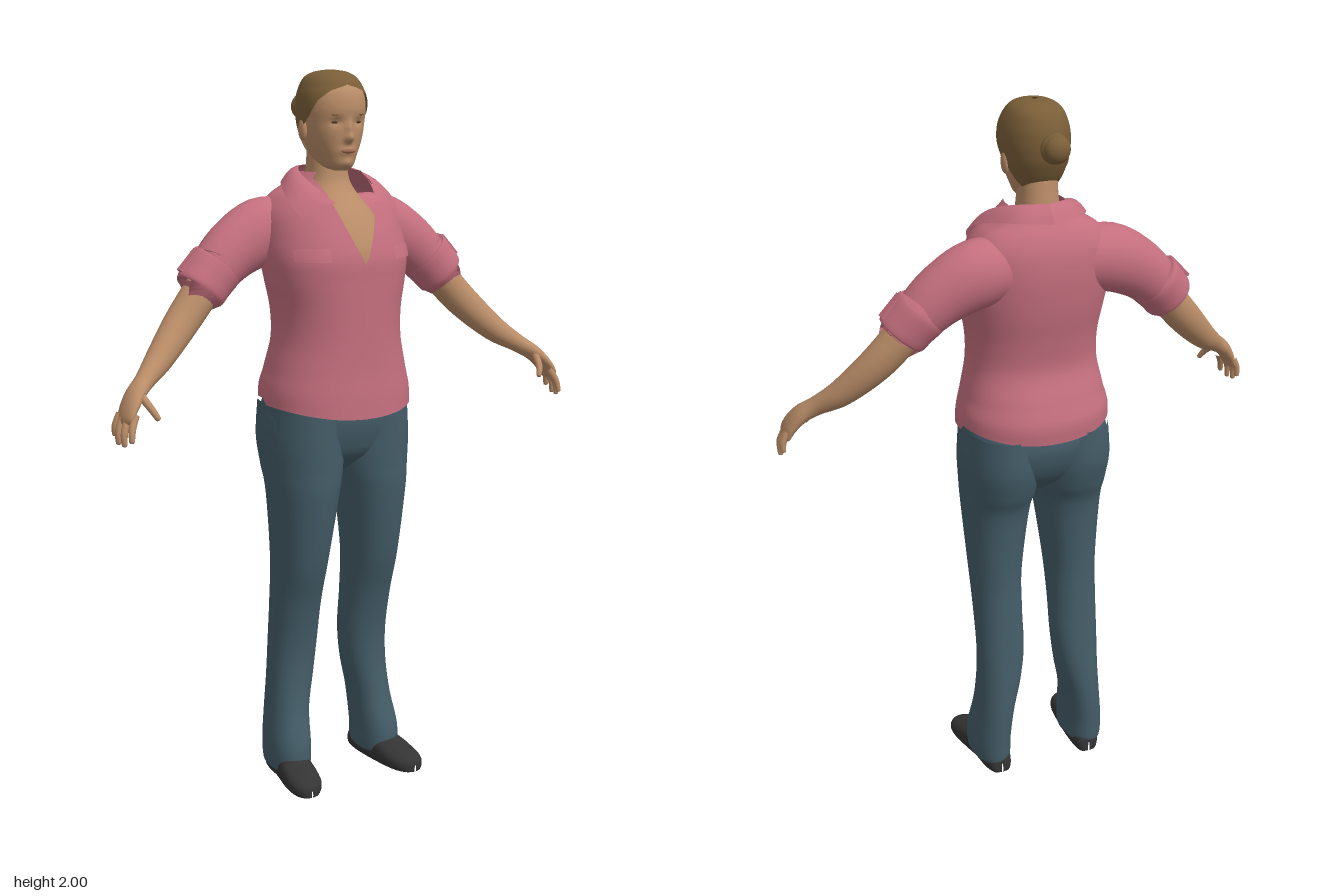
import * as THREE from 'three';

const mat = (name, color, side = THREE.FrontSide) => {
  const m = new THREE.MeshStandardMaterial({ color, side });
  m.name = name;
  return m;
};
const V = (x, y, z) => new THREE.Vector3(x, y, z);

// Smooth extra rows between a few given rows (Catmull-Rom on every number)
function smooth(rows, k = 6) {
  const out = [];
  const at = i => rows[Math.max(0, Math.min(rows.length - 1, i))];
  for (let i = 0; i < rows.length - 1; i++)
    for (let s = 0; s < k; s++) {
      const t = s / k, [a, b, c, d] = [at(i - 1), at(i), at(i + 1), at(i + 2)];
      out.push(b.map((p, q) => 0.5 * (2 * p + (c[q] - a[q]) * t + (2 * a[q] - 5 * p + 4 * c[q] - d[q]) * t * t
        + (3 * p - a[q] - 3 * c[q] + d[q]) * t * t * t)));
    }
  out.push(rows[rows.length - 1]);
  return out;
}

// Surface through a grid of points; closed joins the last column to the first
function grid(nRows, nCols, point, closed = true) {
  const pos = [], index = [];
  for (let i = 0; i < nRows; i++)
    for (let j = 0; j < nCols; j++) pos.push(...point(i, j).toArray());
  for (let i = 0; i < nRows - 1; i++)
    for (let j = 0; j < (closed ? nCols : nCols - 1); j++) {
      const a = i * nCols + j, b = i * nCols + (j + 1) % nCols;
      index.push(a, b, b + nCols, a, b + nCols, a + nCols);
    }
  const g = new THREE.BufferGeometry();
  g.setAttribute('position', new THREE.Float32BufferAttribute(pos, 3));
  g.setIndex(index);
  g.computeVertexNormals();
  return g;
}

// Point on a level ring; row = [y, centreX, halfWidth, zFront, zBack, zWidest]
const pw = (v, n) => Math.sign(v) * Math.abs(v) ** (2 / n);
function ringPoint([y, cx, w, zf, zb, cz], a, n) {
  const c = pw(Math.cos(a), n);
  return V(cx + w * pw(Math.sin(a), n), y, cz + c * (c > 0 ? zf - cz : cz - zb));
}

// Stack of level rings; opening(y, w) leaves a gap around the front
function body(rows, n = 2.2, { cols = 48, opening, shape } = {}) {
  const r = smooth(rows);
  return grid(r.length, cols, (i, j) => {
    const a0 = opening ? opening(r[i][0], r[i][2]) : 0;
    const a = opening ? a0 + (2 * Math.PI - 2 * a0) * j / (cols - 1) : 2 * Math.PI * j / cols;
    const p = ringPoint(r[i], a, n);
    return shape ? shape(p) : p;
  }, !opening);
}

// Tube along a bent path; row = [x, y, z, thickness, breadth]
function limb(rows, cols = 24, k = 5) {
  const r = smooth(rows, k);
  const at = i => { const q = r[Math.max(0, Math.min(r.length - 1, i))]; return V(q[0], q[1], q[2]); };
  return grid(r.length, cols, (i, j) => {
    const t = at(i + 1).sub(at(i - 1)).normalize();
    const n1 = V(0, 0, 1).addScaledVector(t, -t.z).normalize();
    const n2 = t.clone().cross(n1), a = 2 * Math.PI * j / cols;
    return at(i).addScaledVector(n1, r[i][4] * Math.cos(a)).addScaledVector(n2, r[i][3] * Math.sin(a));
  });
}

function mirrored(g) {
  const m = g.clone().scale(-1, 1, 1), ix = m.index.array;
  for (let i = 0; i < ix.length; i += 3) [ix[i], ix[i + 1]] = [ix[i + 1], ix[i]];
  m.computeVertexNormals();
  return m;
}
const blob = (x, y, z, sx, sy, sz) => new THREE.SphereGeometry(1, 20, 14).scale(sx, sy, sz).translate(x, y, z);

const TORSO = [
  [1.07, 0, 0.214, 0.188, -0.168, 0.01], [1.13, 0, 0.211, 0.185, -0.17, 0.01], [1.2, 0, 0.198, 0.18, -0.152, 0.01],
  [1.28, 0, 0.182, 0.178, -0.125, 0.01], [1.36, 0, 0.182, 0.178, -0.132, 0.01], [1.44, 0, 0.197, 0.178, -0.148, 0.01],
  [1.5, 0, 0.206, 0.177, -0.156, 0], [1.56, 0, 0.204, 0.16, -0.16, -0.02], [1.62, 0, 0.194, 0.135, -0.155, -0.04],
  [1.665, 0, 0.163, 0.115, -0.14, -0.05], [1.695, 0, 0.118, 0.1, -0.122, -0.05], [1.73, 0, 0.08, 0.085, -0.1, -0.03]];
const HEAD = [
  [1.733, 0, 0.018, 0.062, 0.03, 0.045], [1.745, 0, 0.04, 0.075, -0.02, 0.02], [1.77, 0, 0.056, 0.081, -0.055, 0],
  [1.8, 0, 0.069, 0.084, -0.078, 0], [1.83, 0, 0.078, 0.087, -0.095, 0], [1.86, 0, 0.083, 0.088, -0.107, 0],
  [1.9, 0, 0.086, 0.094, -0.112, 0], [1.94, 0, 0.08, 0.086, -0.108, 0], [1.97, 0, 0.062, 0.064, -0.088, -0.01],
  [1.987, 0, 0.036, 0.034, -0.055, -0.012], [1.993, 0, 0.002, -0.01, -0.014, -0.012]];
// Face relief: [x, y, height, spreadX, spreadY]
const RELIEF = [[0, 1.82, 0.02, 0.011, 0.012], [0, 1.846, 0.012, 0.009, 0.018], [0.034, 1.863, -0.008, 0.015, 0.01],
  [-0.034, 1.863, -0.008, 0.015, 0.01], [0, 1.786, 0.006, 0.022, 0.01], [0, 1.754, 0.005, 0.018, 0.01]];

export function createModel() {
  const root = new THREE.Group();
  root.name = 'standingWoman';
  const skin = mat('skin', 0xb98c67), hair = mat('hair', 0x7a5e38, THREE.DoubleSide);
  const shirt = mat('pinkShirt', 0xc46f7e, THREE.DoubleSide), pants = mat('blueGreyPants', 0x445d68);
  const shoe = mat('darkShoe', 0x343434), lip = mat('lips', 0x9c6653), eye = mat('eyes', 0x4d3a2e);
  const add = (name, g, m) => {
    const mesh = new THREE.Mesh(g, m);
    mesh.name = name;
    root.add(mesh);
  };
  const pair = (name, g, m) => {
    add('left' + name, g, m);
    add('right' + name, mirrored(g), m);
  };

  // Shirt with V neck and a hem that rises at the sides and back
  add('shirtBody', body(TORSO, 2.3, {
    cols: 72,
    opening: (y, w) => Math.asin(Math.min(0.85, Math.max(0, y - 1.49) * 0.36 / w)),
    shape: p => {
      const low = Math.max(0, 1 - (p.y - 1.07) / 0.12);
      p.y += low * (0.028 * (p.x / 0.21) ** 2 + (p.z < 0 ? 0.018 : 0));
      return p;
    },
  }), shirt);

  // Folded collar between a neck edge and an outer edge
  const path = pts => new THREE.CatmullRomCurve3(pts.map(p => V(...p)));
  const fold = path([[0.06, 1.652, 0.122], [0.092, 1.695, 0.06], [0.09, 1.727, -0.02], [0.06, 1.742, -0.075], [0, 1.745, -0.105]]);
  const edge = path([[0.15, 1.608, 0.1], [0.165, 1.65, 0.058], [0.142, 1.69, -0.03], [0.09, 1.704, -0.112], [0, 1.7, -0.145]]);
  pair('Collar', grid(17, 5, (i, j) => {
    const p = fold.getPoint(i / 16).lerp(edge.getPoint(i / 16), j / 4);
    p.y += 0.012 * Math.sin(Math.PI * j / 4);
    return p;
  }, false), shirt);

  // Pocket flaps lying on the chest
  const torso = smooth(TORSO, 10);
  const chestZ = (x, y) => {
    const r = torso.reduce((b, q) => Math.abs(q[0] - y) < Math.abs(b[0] - y) ? q : b);
    return ringPoint(r, Math.asin((x / r[2]) ** 1.15), 2.3).z;
  };
  pair('PocketFlap', grid(4, 9, (i, j) => {
    const x = 0.1 + 0.08 * j / 8, y = 1.5 + 0.035 * i / 3;
    return V(x, y, chestZ(x, y) + 0.004 + 0.005 * (1 - i / 3));
  }, false), shirt);

  // Sleeves with turned-up cuffs and straps
  pair('Sleeve', limb([[0.1, 1.575, -0.065, 0.085, 0.075], [0.19, 1.567, -0.067, 0.093, 0.082], [0.275, 1.525, -0.06, 0.083, 0.075],
    [0.335, 1.475, -0.052, 0.072, 0.068], [0.385, 1.423, -0.04, 0.063, 0.056]], 32), shirt);
  pair('Cuff', limb([[0.335, 1.482, -0.052, 0.07, 0.065], [0.337, 1.48, -0.052, 0.078, 0.072], [0.365, 1.45, -0.046, 0.075, 0.069],
    [0.39, 1.42, -0.04, 0.071, 0.064], [0.391, 1.419, -0.04, 0.05, 0.048]], 32), shirt);
  const strap = new THREE.BoxGeometry(0.075, 0.008, 0.025);
  strap.rotateZ(-0.82).translate(0.418, 1.505, -0.046);
  pair('CuffStrap', strap, shirt);

  // Chest and neck
  add('chestAndNeck', body([[1.42, 0, 0.15, 0.155, -0.05, 0], [1.5, 0, 0.15, 0.158, -0.06, 0], [1.56, 0, 0.14, 0.138, -0.08, 0],
    [1.62, 0, 0.115, 0.1, -0.1, -0.02], [1.66, 0, 0.086, 0.065, -0.1, -0.03], [1.7, 0, 0.062, 0.036, -0.097, -0.03],
    [1.75, 0, 0.054, 0.026, -0.09, -0.03], [1.82, 0, 0.052, 0.02, -0.082, -0.03]]), skin);

  // Head with nose, eye sockets, lips and chin
  add('head', body(HEAD, 2.2, {
    cols: 96,
    shape: p => {
      if (p.z > 0.02) {
        const { x, y } = p;
        for (const [bx, by, h, sx, sy] of RELIEF) p.z += h * Math.exp(-(((x - bx) / sx) ** 2) - ((y - by) / sy) ** 2);
      }
      return p;
    },
  }), skin);
  pair('Ear', blob(0.084, 1.842, -0.015, 0.01, 0.03, 0.018).rotateY(0), skin);
  pair('Eye', blob(0.034, 1.862, 0.073, 0.012, 0.004, 0.005), eye);
  pair('Eyebrow', blob(0.036, 1.882, 0.082, 0.016, 0.0025, 0.005), hair);
  add('mouth', blob(0, 1.786, 0.086, 0.022, 0.006, 0.007), lip);

  // Swept-back hair with a bun
  const line = [[1.77, 2.5], [1.8, 2.1], [1.84, 1.75], [1.88, 1.3], [1.92, 1], [1.945, 0.6], [1.96, 0], [2.1, 0]];
  const hairline = y => {
    const i = Math.max(1, line.findIndex(q => q[0] > y)), [a, b] = [line[i - 1], line[i]];
    return THREE.MathUtils.lerp(a[1], b[1], Math.max(0, (y - a[0]) / (b[0] - a[0])));
  };
  add('hair', body(HEAD.slice(2).map(([y, x, w, f, b, c]) => [y + (y > 1.95 ? 0.007 : 0), x, w + 0.006, f + 0.005, b - 0.006, c]),
    2.2, { cols: 64, opening: hairline }), hair);
  add('bun', blob(0, 1.9, -0.158, 0.036, 0.037, 0.03), hair);
  add('bunWrap', new THREE.TorusGeometry(0.027, 0.013, 10, 28).translate(0, 1.9, -0.148), hair);
  add('bunTie', new THREE.CylinderGeometry(0.02, 0.026, 0.04, 20).rotateX(Math.PI / 2).translate(0, 1.9, -0.12), hair);

  // Forearms and palms
  pair('Arm', limb([[0.33, 1.478, -0.05, 0.05, 0.05], [0.39, 1.412, -0.04, 0.05, 0.049], [0.46, 1.335, -0.02, 0.047, 0.045],
    [0.54, 1.257, 0.02, 0.037, 0.037], [0.6, 1.213, 0.06, 0.026, 0.028], [0.638, 1.185, 0.085, 0.022, 0.035],
    [0.665, 1.152, 0.103, 0.017, 0.041], [0.68, 1.122, 0.112, 0.012, 0.037], [0.683, 1.113, 0.114, 0.002, 0.01]]), skin);
  // Fingers and thumb: base, middle and tip
  const digits = [
    [[0.662, 1.14, 0.136], [0.677, 1.108, 0.15], [0.682, 1.078, 0.157]], [[0.672, 1.135, 0.12], [0.69, 1.1, 0.13], [0.692, 1.066, 0.133]],
    [[0.678, 1.135, 0.1], [0.695, 1.1, 0.106], [0.697, 1.068, 0.107]], [[0.68, 1.14, 0.083], [0.694, 1.11, 0.082], [0.695, 1.085, 0.08]],
    [[0.632, 1.185, 0.105], [0.62, 1.155, 0.142], [0.608, 1.13, 0.158]]];
  digits.forEach(([a, b, c], i) => {
    const end = c.map((v, q) => v + 0.1 * (v - b[q]));
    pair(i < 4 ? 'Finger' + (i + 1) : 'Thumb', limb([[...a, 0.011, 0.011], [...b, 0.0095, 0.0095], [...c, 0.007, 0.007],
      [...end, 0.001, 0.001]], 10, 4), skin);
  });

  // Trousers: hips and two legs
  add('trouserHips', body([[0.9, 0, 0.03, 0.05, -0.05, 0], [0.95, 0, 0.15, 0.115, -0.11, 0], [1, 0, 0.208, 0.14, -0.142, 0],
    [1.06, 0, 0.21, 0.152, -0.158, 0], [1.12, 0, 0.195, 0.15, -0.15, 0]], 2.4), pants);
  pair('TrouserLeg', body([[0.028, 0.148, 0.045, 0.05, -0.085, 0], [0.035, 0.148, 0.056, 0.075, -0.105, 0], [0.1, 0.148, 0.058, 0.078, -0.11, 0],
    [0.2, 0.138, 0.056, 0.05, -0.114, -0.02], [0.3, 0.124, 0.063, 0.038, -0.11, -0.03], [0.4, 0.117, 0.068, 0.043, -0.102, -0.03],
    [0.52, 0.117, 0.069, 0.068, -0.093, -0.01], [0.65, 0.116, 0.073, 0.11, -0.088, 0.01], [0.84, 0.11, 0.092, 0.142, -0.102, 0.02],
    [0.92, 0.106, 0.103, 0.147, -0.132, 0.01], [1, 0.107, 0.106, 0.15, -0.154, 0], [1.1, 0.105, 0.1, 0.152, -0.155, 0]], 2.2, { cols: 40 }), pants);

  // Shoes: domed sections with flat soles; row = [z, centreX, halfWidth, height]
  const last = smooth([[-0.106, 0.142, 0.002, 0.03], [-0.1, 0.142, 0.028, 0.05], [-0.06, 0.145, 0.042, 0.075], [0, 0.148, 0.046, 0.085],
    [0.06, 0.157, 0.051, 0.075], [0.11, 0.164, 0.052, 0.058], [0.15, 0.169, 0.045, 0.046], [0.175, 0.172, 0.027, 0.035], [0.183, 0.173, 0.002, 0.02]], 4);
  pair('Shoe', grid(last.length, 28, (i, j) => {
    const [z, cx, w, h] = last[i], a = 2 * Math.PI * j / 28;
    return V(cx - w * pw(Math.sin(a), 2.4), Math.max(0, h * (0.4 + 0.6 * pw(Math.cos(a), 2.4))), z);
  }), shoe);

  return root;
}
